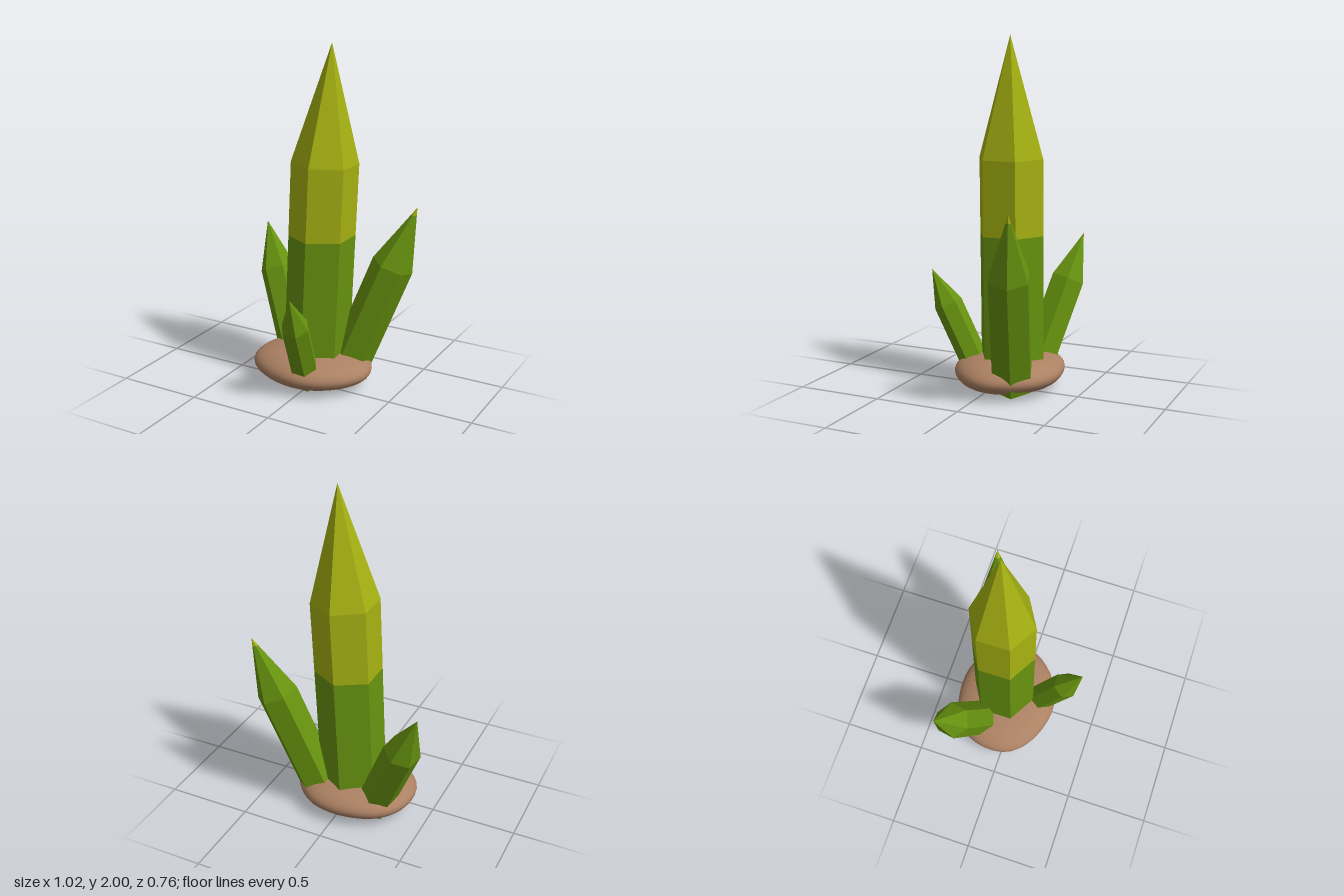
import * as THREE from 'three';

const SIDES = 6;
const V = (p) => new THREE.Vector3(...p);

// Six-sided ring around centre c, square to the axis; corner 0 lies in the leaning plane
function ring(c, axis, radius, twist) {
  const e1 = new THREE.Vector3(axis.x, 0, axis.z);
  e1.addScaledVector(axis, -e1.dot(axis)).normalize();
  const e2 = axis.clone().cross(e1);
  return Array.from({ length: SIDES }, (_, i) => {
    const a = twist + (i / SIDES) * Math.PI * 2;
    return c.clone()
      .addScaledVector(e1, Math.cos(a) * radius)
      .addScaledVector(e2, Math.sin(a) * radius);
  });
}

// Ring where the edges between two rings cross a level height
const levelCut = (lower, upper, y) =>
  lower.map((p, i) => p.clone().lerp(upper[i], (y - p.y) / (upper[i].y - p.y)));

// Faceted skin through a stack of rings, optionally closed underneath
function facets(rings, closed) {
  const tris = [];
  for (let k = 0; k < rings.length - 1; k++) {
    for (let i = 0; i < SIDES; i++) {
      const j = (i + 1) % SIDES;
      const [a, b] = [rings[k], rings[k + 1]];
      tris.push(a[i], a[j], b[j]);
      if (b[i].distanceTo(b[j]) > 1e-6) tris.push(a[i], b[j], b[i]);
    }
  }
  if (closed) {
    for (let i = 1; i < SIDES - 1; i++) tris.push(rings[0][0], rings[0][i + 1], rings[0][i]);
  }
  const g = new THREE.BufferGeometry().setFromPoints(tris);
  g.computeVertexNormals();
  return g;
}

export function createModel() {
  const model = new THREE.Group();
  model.name = 'crystalCluster';

  const mat = (name, color) => {
    const m = new THREE.MeshStandardMaterial({ color });
    m.name = name;
    return m;
  };
  const green = mat('crystalGreen', 0x67930f);
  const yellow = mat('crystalYellow', 0xa6b212);
  const brown = mat('rockBrown', 0xac8163);

  const add = (parent, name, geometry, material) => {
    const m = new THREE.Mesh(geometry, material);
    m.name = name;
    parent.add(m);
  };

  // Each crystal: foot, shoulder and tip points, radius, twist, height of the colour change
  const crystals = [
    { name: 'mainCrystal', foot: [-0.025, 0.05, -0.09], shoulder: [0.025, 1.33, -0.1], tip: [0.06, 2, -0.11], r: 0.193, twist: -41, yellowFrom: 0.9 },
    { name: 'leftCrystal', foot: [0.143, 0.07, -0.165], shoulder: [0.388, 0.735, -0.25], tip: [0.51, 1.085, -0.3], r: 0.122, twist: 0, yellowFrom: 1.04 },
    { name: 'rightCrystal', foot: [-0.185, 0.06, -0.16], shoulder: [-0.405, 0.577, -0.28], tip: [-0.512, 0.845, -0.34], r: 0.108, twist: -12 },
    { name: 'frontCrystal', foot: [0.015, 0.06, 0.09], shoulder: [0.05, 0.473, 0.285], tip: [0.07, 0.67, 0.378], r: 0.082, twist: -39 },
  ];

  for (const c of crystals) {
    const group = new THREE.Group();
    group.name = c.name;
    model.add(group);

    const foot = V(c.foot), shoulder = V(c.shoulder), tip = V(c.tip);
    const axis = shoulder.clone().sub(foot).normalize();
    const twist = THREE.MathUtils.degToRad(c.twist);
    const a = ring(foot, axis, c.r, twist);
    const b = ring(shoulder, axis, c.r, twist);
    const t = Array.from({ length: SIDES }, () => tip.clone());

    if (!c.yellowFrom) {
      add(group, 'greenBody', facets([a, b, t], true), green);
    } else if (c.yellowFrom < shoulder.y) {
      const cut = levelCut(a, b, c.yellowFrom);
      add(group, 'greenShaft', facets([a, cut], true), green);
      add(group, 'yellowPoint', facets([cut, b, t]), yellow);
    } else {
      const cut = levelCut(b, t, c.yellowFrom);
      add(group, 'greenBody', facets([a, b, cut], true), green);
      add(group, 'yellowPoint', facets([cut, t]), yellow);
    }
  }

  // Rock: a flattened ball with fuller shoulders and slight bumps
  const rock = new THREE.SphereGeometry(1, 40, 20);
  const pos = rock.attributes.position;
  for (let i = 0; i < pos.count; i++) {
    const p = new THREE.Vector3().fromBufferAttribute(pos, i);
    const flat = Math.hypot(p.x, p.z);
    const angle = Math.atan2(p.z, p.x);
    const fuller = flat > 1e-6 ? Math.pow(flat, -0.2) : 1;
    const bump = 1 + 0.012 * Math.sin(angle * 5 + 1) * flat;
    pos.setXYZ(i, p.x * fuller * bump * 0.363, p.y * 0.103, p.z * fuller * bump * 0.308);
  }
  rock.computeVertexNormals();
  // Matching normals across the seam where the ball closes
  const nor = rock.attributes.normal;
  for (let row = 0; row <= 20; row++) {
    const s = row * 41, e = s + 40;
    const n = new THREE.Vector3().fromBufferAttribute(nor, s)
      .add(new THREE.Vector3().fromBufferAttribute(nor, e)).normalize();
    nor.setXYZ(s, n.x, n.y, n.z);
    nor.setXYZ(e, n.x, n.y, n.z);
  }
  rock.translate(-0.035, 0.108, -0.072);
  add(model, 'rock', rock, brown);

  return model;
}
